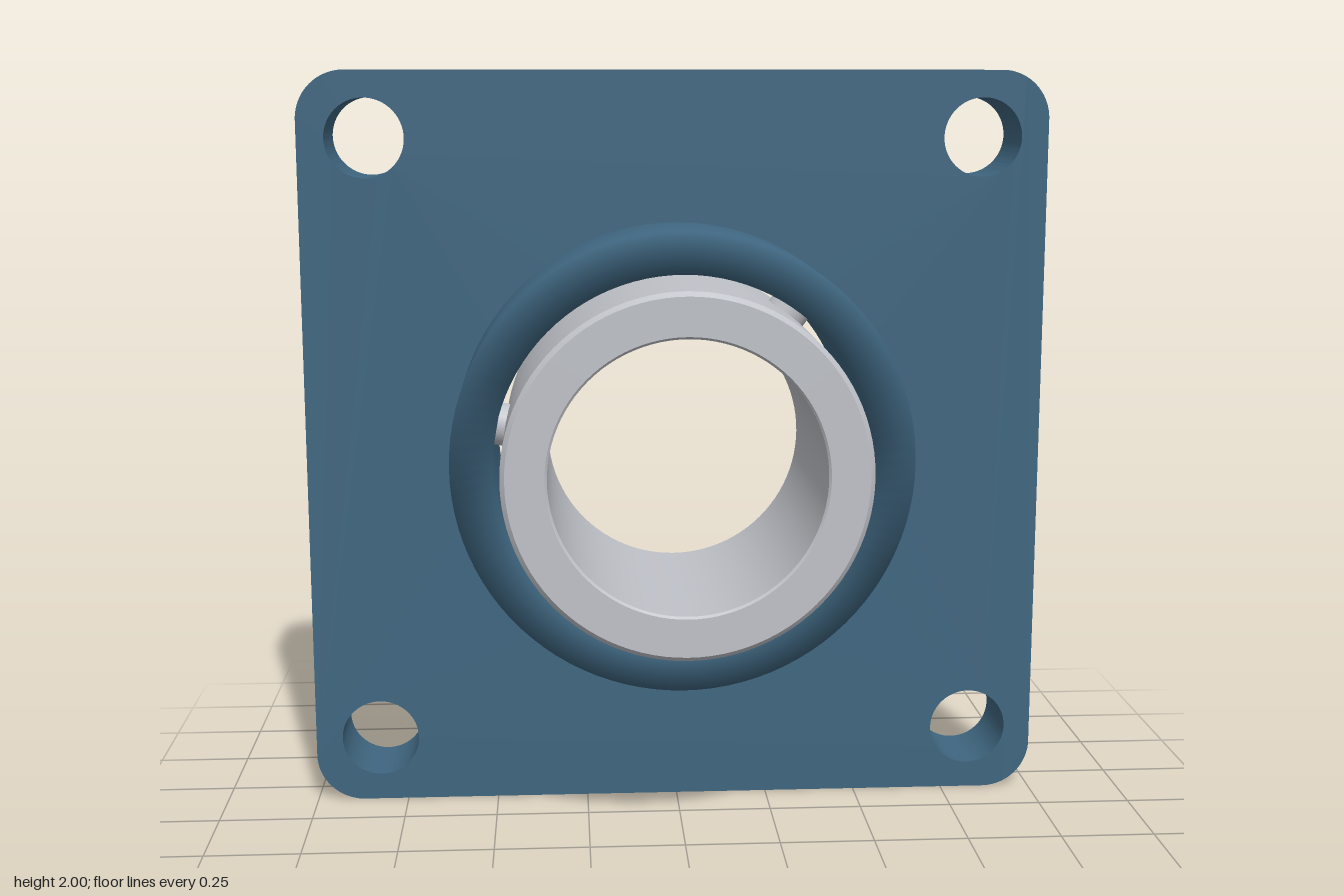
import * as THREE from 'three';
import { toCreasedNormals } from 'three/addons/utils/BufferGeometryUtils.js';

const PLATE_BACK = -0.37, PLATE_FRONT = -0.145, HUB_FRONT = 0.18;
const BORE = 0.49;

// Revolve [radius, z] points around the z axis
function revolve(points) {
  const profile = points.map(([r, z]) => new THREE.Vector2(r, z));
  return new THREE.LatheGeometry(profile, 96).rotateX(Math.PI / 2);
}

// Square outline with rounded corners
function roundedSquare(h, r) {
  const s = new THREE.Shape();
  s.absarc(h - r, h - r, r, 0, Math.PI / 2);
  s.absarc(r - h, h - r, r, Math.PI / 2, Math.PI);
  s.absarc(r - h, r - h, r, Math.PI, Math.PI * 1.5);
  s.absarc(h - r, r - h, r, Math.PI * 1.5, Math.PI * 2);
  return s;
}

function circleHole(x, y, r) {
  const p = new THREE.Path();
  p.absarc(x, y, r, 0, Math.PI * 2, true);
  return p;
}

export function createModel() {
  const model = new THREE.Group();
  model.name = 'flangedBearing';
  const paint = new THREE.MeshStandardMaterial({ color: 0x3f6680 });
  paint.name = 'bluePaint';
  const steel = new THREE.MeshStandardMaterial({ color: 0xbfc2c8 });
  steel.name = 'steel';

  const add = (name, geometry, material) => {
    const mesh = new THREE.Mesh(geometry, material);
    mesh.name = name;
    mesh.position.y = 1;
    model.add(mesh);
    return mesh;
  };

  // Mounting plate with central bore and four bolt holes
  const outline = roundedSquare(1, 0.13);
  outline.holes.push(circleHole(0, 0, BORE));
  for (const x of [-0.823, 0.823]) {
    for (const y of [-0.823, 0.823]) outline.holes.push(circleHole(x, y, 0.105));
  }
  const plate = new THREE.ExtrudeGeometry(outline, {
    depth: PLATE_FRONT - PLATE_BACK, bevelEnabled: false, curveSegments: 48,
  }).translate(0, 0, PLATE_BACK);
  add('mountingPlate', toCreasedNormals(plate, 0.6), paint);

  // Housing collar, shaded softly around its front lip
  add('housing', revolve([
    [0.6, PLATE_FRONT], [0.6, HUB_FRONT], [BORE, HUB_FRONT], [BORE, PLATE_FRONT],
  ]), paint);

  // Inner ring with chamfered rims
  const c = 0.012, ro = 0.467, ri = 0.35, back = -0.335, front = 0.37;
  add('innerRing', toCreasedNormals(revolve([
    [ri + c, back], [ro - c, back], [ro, back + c], [ro, front - c], [ro - c, front],
    [ri + c / 2, front], [ri, front - c / 2], [ri, back + c], [ri + c, back],
  ]), 0.6), steel);

  // Small studs bridging the gap between ring and housing
  for (const angle of [0, 53, 170]) {
    const a = THREE.MathUtils.degToRad(angle);
    const stud = new THREE.CylinderGeometry(0.056, 0.056, 0.05, 24)
      .rotateZ(-Math.PI / 2).translate(0.463, 0, 0);
    add('stud', stud, steel).rotation.z = a;
  }
  return model;
}
